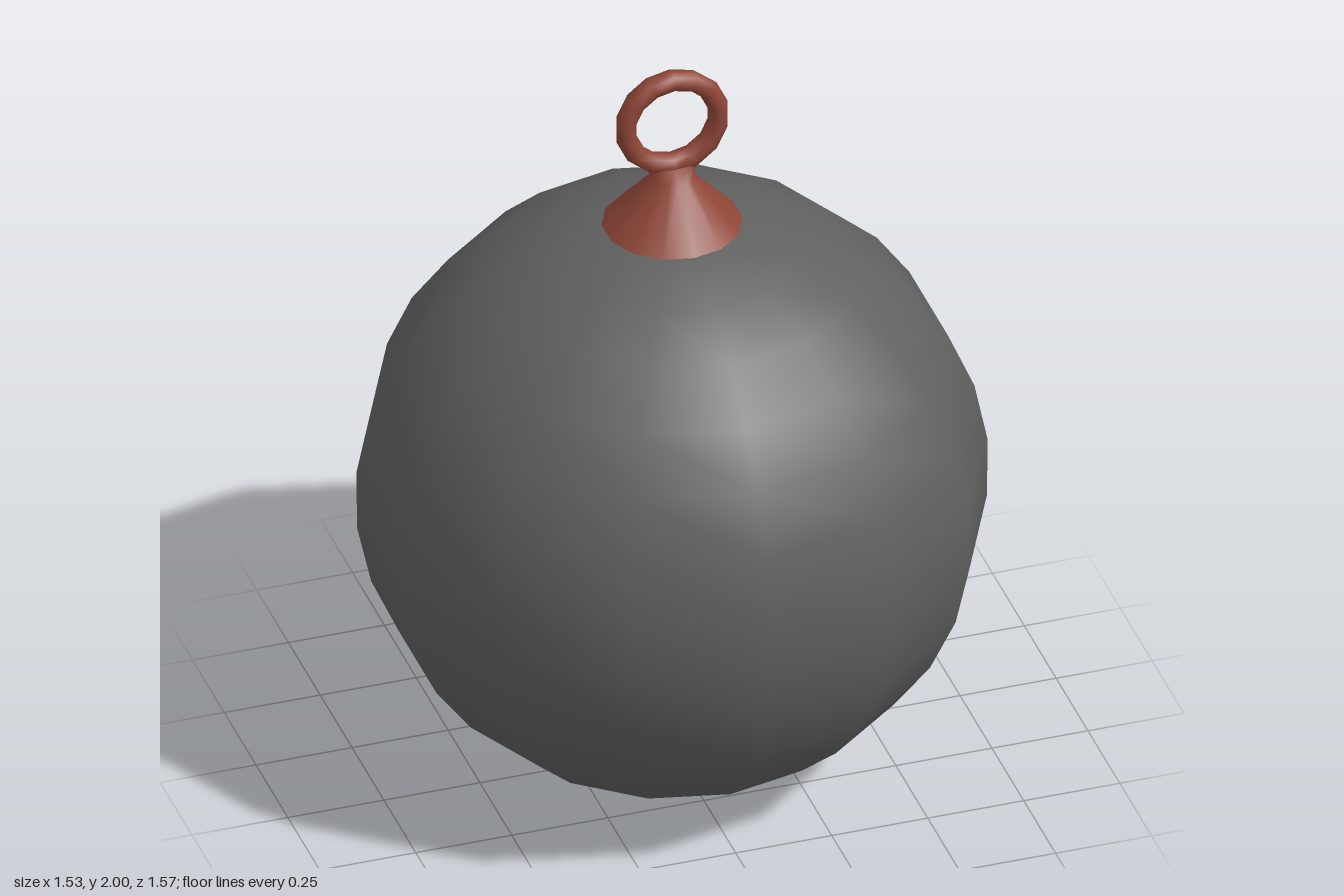
import * as THREE from 'three';
import { mergeVertices } from 'three/addons/utils/BufferGeometryUtils.js';

const SIDES = 14;
const R = 0.787, CENTRE_Y = 0.79;

export function createModel() {
  const group = new THREE.Group();
  const iron = new THREE.MeshStandardMaterial({ color: 0x606060 });
  iron.name = 'dark grey';
  const rust = new THREE.MeshStandardMaterial({ color: 0x8f4638 });
  rust.name = 'rust red';

  const add = (name, geometry, material) => {
    const mesh = new THREE.Mesh(geometry, material);
    mesh.name = name;
    group.add(mesh);
    return mesh;
  };

  // Ball, open at the top ring where the mount sits
  const step = Math.PI / SIDES;
  const ballGeo = new THREE.SphereGeometry(R, SIDES, SIDES, 0, Math.PI * 2, step, Math.PI - step);
  ballGeo.rotateY(Math.PI / 2);
  add('ball', ballGeo, iron).position.y = CENTRE_Y;

  // Mount: cone that narrows to a neck, then flattens out into the ring
  const rings = [ // height, x radius, z radius
    [CENTRE_Y + R * Math.cos(step), R * Math.sin(step), R * Math.sin(step)],
    [1.692, 0.052, 0.052],
    [1.722, 0.066, 0.031],
    [1.742, 0.084, 0.022],
  ];
  let mountGeo = new THREE.CylinderGeometry(1, 1, rings.length - 1, SIDES, rings.length - 1);
  const p = mountGeo.attributes.position;
  for (let i = 0; i < p.count; i++) {
    const [y, rx, rz] = rings[Math.round(p.getY(i) + (rings.length - 1) / 2)];
    p.setXYZ(i, p.getX(i) * rx, y, p.getZ(i) * rz);
  }
  // Keep the side wall only: the ball and the ring close both ends
  const wall = mountGeo.groups[0];
  mountGeo.setIndex(Array.from(mountGeo.index.array).slice(wall.start, wall.start + wall.count));
  mountGeo.clearGroups();
  mountGeo.deleteAttribute('uv');
  mountGeo.deleteAttribute('normal');
  mountGeo = mergeVertices(mountGeo, 1e-4);
  mountGeo.computeVertexNormals();
  add('mount', mountGeo, rust);

  // Hanging ring
  const ringGeo = new THREE.TorusGeometry(0.1215, 0.0265, 8, SIDES);
  ringGeo.rotateZ(Math.PI / 2);
  ringGeo.scale(1, 1, 1.15);
  add('hangingRing', ringGeo, rust).position.y = 1.852;

  return group;
}
